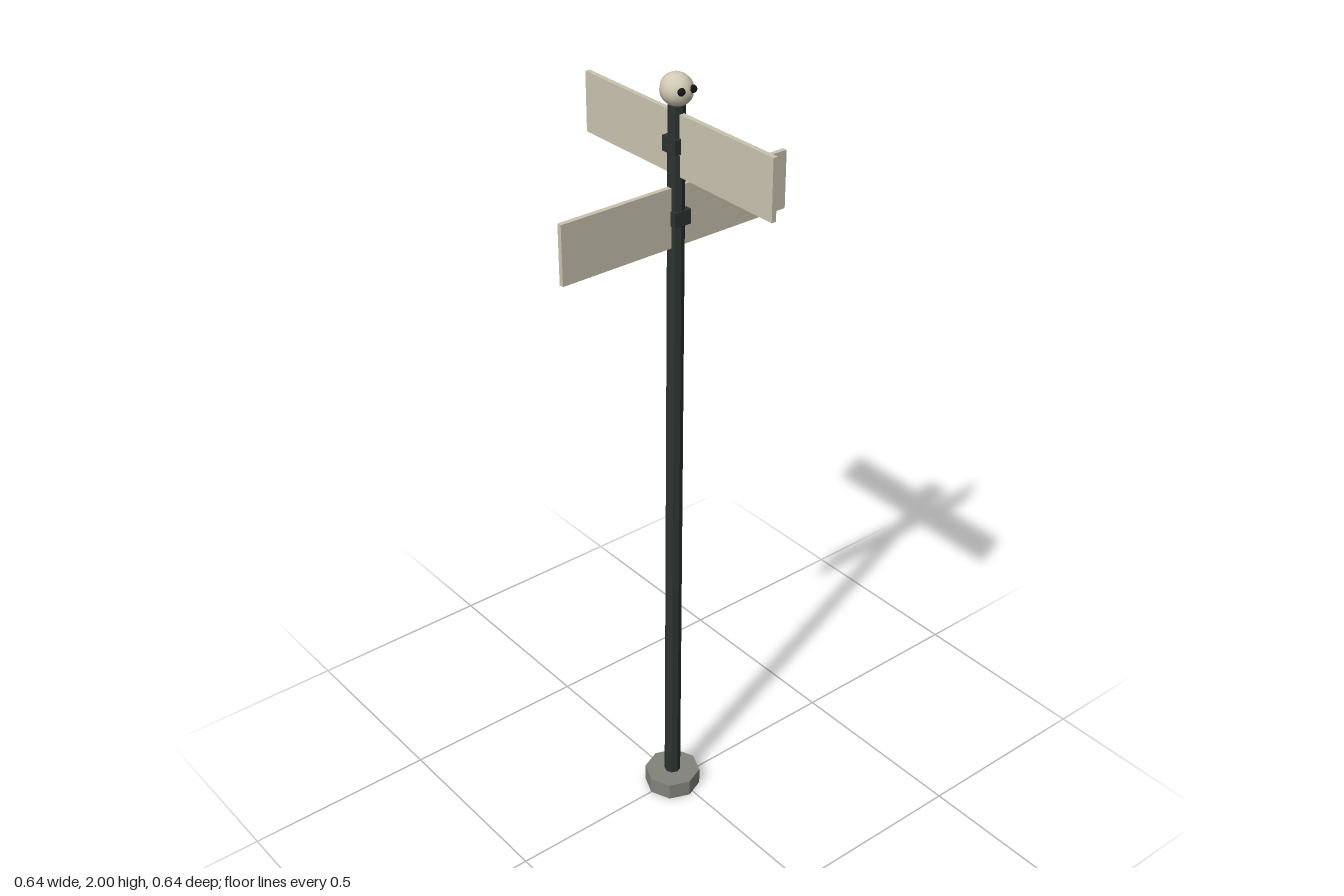
import * as THREE from 'three';

export function createModel() {
  const group = new THREE.Group();
  const material = (name, color) => {
    const m = new THREE.MeshStandardMaterial({ color });
    m.name = name;
    return m;
  };
  const iron = material('dark iron', 0x2b332f);
  const stone = material('grey stone', 0x81827a);
  const board = material('cream board', 0xc9c2af);
  const bone = material('pale bone', 0xd2cab5);
  const black = material('black', 0x151515);

  const add = (name, geometry, mat, x, y, z) => {
    const mesh = new THREE.Mesh(geometry, mat);
    mesh.name = name;
    mesh.position.set(x, y, z);
    group.add(mesh);
    return mesh;
  };
  const faceted = (geometry) => {
    const g = geometry.toNonIndexed();
    g.computeVertexNormals();
    return g;
  };

  // Octagonal foot
  const baseX = -0.015, topX = 0.0, baseH = 0.046, topY = 1.93;
  add('base', faceted(new THREE.CylinderGeometry(0.073, 0.073, baseH, 8)), stone, baseX, baseH / 2, 0);

  // Pole leaning slightly toward +x
  const length = topY - 0.03;
  const pole = new THREE.CylinderGeometry(0.02, 0.021, length, 8);
  const pos = pole.attributes.position;
  for (let i = 0; i < pos.count; i++) {
    const t = pos.getY(i) / length + 0.5;
    pos.setX(i, pos.getX(i) + THREE.MathUtils.lerp(baseX, topX, t));
  }
  add('pole', faceted(pole), iron, 0, 0.03 + length / 2, 0);

  // Two crossed name boards, each held by a clamp
  for (const [name, y, turn] of [['lower', 1.666, 0], ['upper', 1.838, Math.PI / 2]]) {
    const sign = add(name + 'Board', new THREE.BoxGeometry(0.642, 0.146, 0.012), board, 0, y, 0);
    sign.rotation.y = turn;
    add(name + 'Clamp', new THREE.BoxGeometry(0.046, 0.036, 0.046), iron, 0, y, 0);
  }

  // Rounded finial with two dark eye sockets
  const finial = add('finial', new THREE.SphereGeometry(1, 12, 10), bone, 0, 1.962, 0);
  finial.scale.set(0.037, 0.038, 0.041);
  for (const side of [-1, 1]) {
    const eye = add('eye', new THREE.SphereGeometry(0.009, 8, 6), black, side * 0.016, 1.969, 0.036);
    eye.scale.set(1.1, 1, 0.9);
  }
  return group;
}
